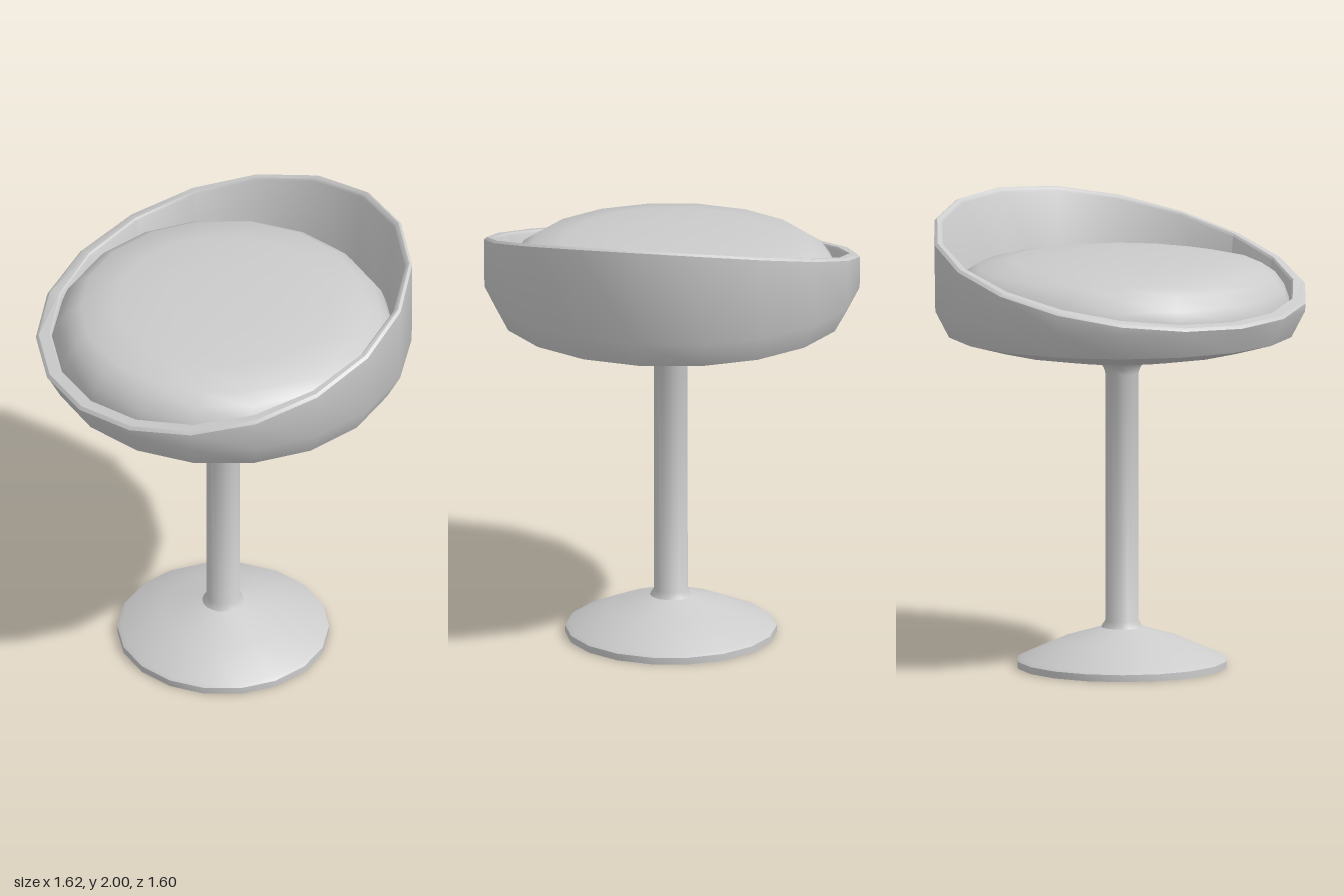
import * as THREE from 'three';
import { toCreasedNormals } from 'three/addons/utils/BufferGeometryUtils.js';

const SIDES = 18;

// Turned part with a corner of the polygon on the +x axis
function turned(points, sides = SIDES) {
  const profile = points.map(([r, y]) => new THREE.Vector2(r, y));
  return new THREE.LatheGeometry(profile, sides, Math.PI / 2);
}

function part(name, geometry, crease = 0.7) {
  const material = new THREE.MeshStandardMaterial({ color: 0xcccccc, side: THREE.DoubleSide });
  const mesh = new THREE.Mesh(toCreasedNormals(geometry, crease), material);
  mesh.name = name;
  return mesh;
}

// Height of the sloping rim: low at -x, high backrest at +x
const rimHeight = (x) => 1.757 + 0.258 * x + 0.05 * x * x;

// Bucket shell: profile points above RIM are offsets from the sloping rim
function shellGeometry() {
  const RIM = 5;
  const geometry = turned([
    [0.07, 1.335], [0.12, 1.34], [0.35, 1.367], [0.57, 1.405], [0.75, 1.455], [0.81, 1.57],
    [0.812, RIM - 0.012], [0.8, RIM], [0.77, RIM + 0.002], [0.762, RIM - 0.008],
    [0.735, 1.48],
  ]);
  const pos = geometry.attributes.position;
  for (let i = 0; i < pos.count; i++) {
    if (pos.getY(i) < RIM - 1) continue;
    const x = pos.getX(i), z = pos.getZ(i), r = Math.hypot(x, z);
    pos.setY(i, rimHeight(x) + pos.getY(i) - RIM);
    // The wall is thinner towards the backrest
    if (r < 0.79) {
      const k = 1 + 0.025 * x / r;
      pos.setX(i, x * k);
      pos.setZ(i, z * k);
    }
  }
  return geometry;
}

export function createModel() {
  const stool = new THREE.Group();
  stool.name = 'barStool';

  // Hollow flared foot, post and collar under the seat
  const pedestal = part('pedestal', turned([
    [0.457, 0], [0.457, 0.03], [0.44, 0.042], [0.27, 0.117], [0.09, 0.172], [0.073, 0.2],
    [0.072, 1.28], [0.08, 1.305], [0.095, 1.328], [0.13, 1.342],
  ]));
  pedestal.position.set(-0.006, 0, 0.006);

  const shell = part('seatShell', shellGeometry());

  // Domed cushion
  const cushion = part('cushion', turned([
    [0, 1.48], [0.735, 1.48], [0.742, 1.59], [0.72, 1.65], [0.68, 1.705], [0.62, 1.745],
    [0.47, 1.775], [0.25, 1.788], [0, 1.792],
  ]));

  stool.add(pedestal, shell, cushion);
  return stool;
}
